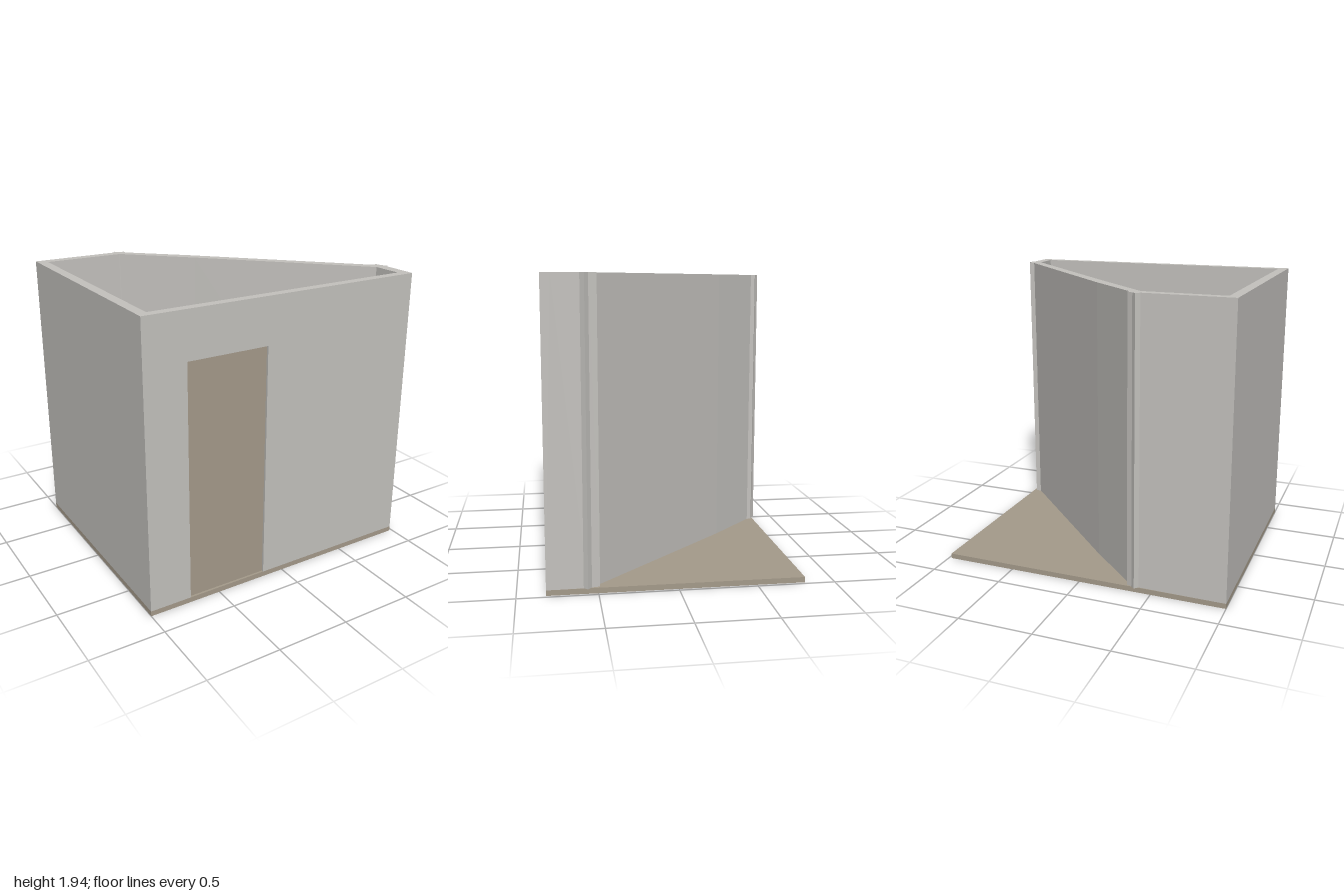
import * as THREE from 'three';

const material = (name, color) => {
  const m = new THREE.MeshStandardMaterial({ color });
  m.name = name;
  return m;
};

export function createModel() {
  const room = new THREE.Group();
  room.name = 'room';
  const plaster = material('plaster grey', 0xc3c1bd);
  const taupe = material('floor taupe', 0xa49a8a);
  const wood = material('cabinet orange', 0xbe926b);
  const blue = material('fixture blue', 0x7898ba);
  const FLOOR = 0.035, TOP = 1.94;

  const add = (name, geometry, mat) => {
    const mesh = new THREE.Mesh(geometry, mat);
    mesh.name = name;
    room.add(mesh);
    return mesh;
  };

  // Upright prism from a plan outline of [x, z] points
  const prism = (name, plan, y0, y1, mat) => {
    const shape = new THREE.Shape(plan.map(([x, z]) => new THREE.Vector2(x, -z)));
    const g = new THREE.ExtrudeGeometry(shape, { depth: y1 - y0, bevelEnabled: false });
    g.rotateX(-Math.PI / 2).translate(0, y0, 0);
    return add(name, g, mat);
  };
  const box = (name, x0, x1, y0, y1, z0, z1, mat) => {
    const g = new THREE.BoxGeometry(x1 - x0, y1 - y0, z1 - z0);
    g.translate((x0 + x1) / 2, (y0 + y1) / 2, (z0 + z1) / 2);
    return add(name, g, mat);
  };

  // Floor slab
  box('floor', -1, 0.98, 0, FLOOR, -0.81, 0.82, taupe);

  // Front wall with a doorway notch, and the slightly recessed door
  const doorL = -0.715, doorR = -0.155, doorTop = 1.63;
  const front = new THREE.Shape([
    [-1, FLOOR], [doorL, FLOOR], [doorL, doorTop], [doorR, doorTop],
    [doorR, FLOOR], [0.98, FLOOR], [0.98, TOP], [-1, TOP],
  ].map(([x, y]) => new THREE.Vector2(x, y)));
  const frontGeometry = new THREE.ExtrudeGeometry(front, { depth: 0.06, bevelEnabled: false });
  add('frontWall', frontGeometry.translate(0, 0, 0.76), plaster);
  box('door', doorL, doorR, FLOOR, doorTop, 0.775, 0.805, taupe);

  // Remaining walls; the diagonal one bends very slightly
  const walls = {
    leftWall: [[-1, -0.81], [-0.935, -0.81], [-0.935, 0.76], [-1, 0.76]],
    backWall: [[-0.935, -0.81], [-0.4, -0.805], [-0.4, -0.735], [-0.935, -0.745]],
    diagonalWall: [[-0.335, -0.765], [0.005, -0.445], [0.93, 0.5], [0.91, 0.575], [0.005, -0.345], [-0.395, -0.735]],
    rightWall: [[0.9, 0.565], [0.975, 0.565], [0.98, 0.76], [0.91, 0.76]],
    // Splayed wall ends where the diagonal meets its neighbours
    backJoint: [[-0.425, -0.8], [-0.395, -0.83], [-0.37, -0.808], [-0.335, -0.795], [-0.335, -0.755], [-0.395, -0.735], [-0.425, -0.74]],
    rightJoint: [[0.925, 0.495], [0.96, 0.49], [0.97, 0.54], [0.998, 0.565], [0.972, 0.595], [0.905, 0.575]],
  };
  for (const [name, plan] of Object.entries(walls)) prism(name, plan, FLOOR, TOP, plaster);

  // Basin and seat blocks
  prism('basin', [[-0.875, -0.735], [-0.415, -0.735], [-0.42, -0.365], [-0.88, -0.375]], FLOOR, 0.68, blue);
  prism('seat', [[0.11, 0.135], [0.44, 0.555], [0.175, 0.755], [-0.155, 0.34]], FLOOR, 0.55, blue);

  // Wall cabinet with three small posts on top
  prism('cabinet', [[-0.925, -0.745], [-0.503, -0.738], [-0.503, -0.513], [-0.925, -0.52]], 0.85, 1.38, wood);
  [[-0.82, 1.53], [-0.71, 1.5], [-0.61, 1.49]].forEach(([x, top], i) =>
    box('cabinetPost' + (i + 1), x - 0.025, x + 0.025, 1.38, top, -0.583, -0.533, taupe));

  return room;
}
